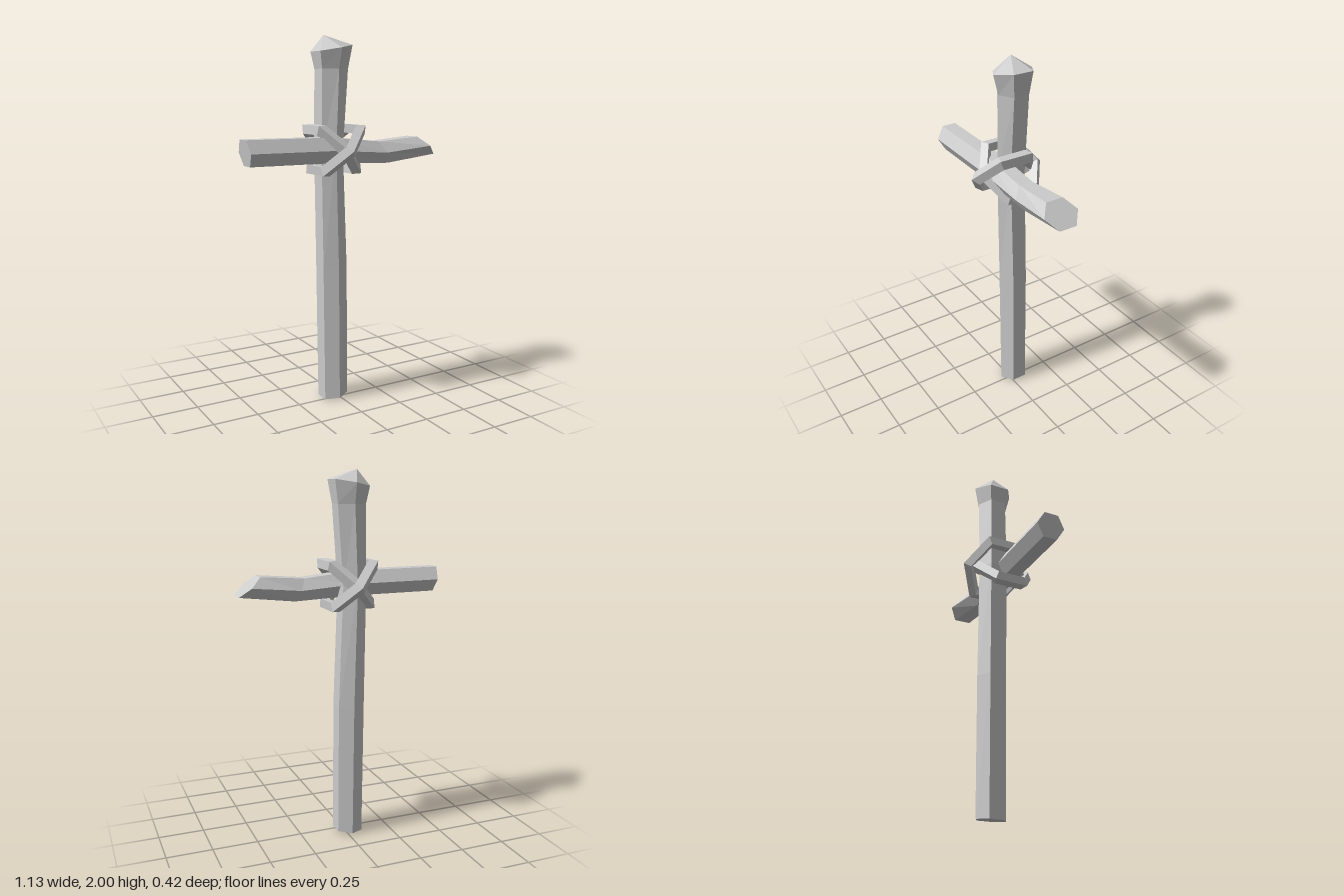
import * as THREE from 'three';

const material = new THREE.MeshStandardMaterial({ color: 0xcccccc, flatShading: true, side: THREE.FrontSide });

// Six-sided stick swept along an axis. Each station: centre c, half widths ru and rv,
// and the shear that slants the cut along the axis.
function stick(name, stations, u, v, w, tip) {
  const rings = stations.map(({ c, ru, rv, shear = 0 }) =>
    Array.from({ length: 6 }, (_, k) => {
      const a = (k * Math.PI) / 3;
      const du = (ru * Math.sin(a)) / Math.sin(Math.PI / 3);
      return new THREE.Vector3(...c)
        .addScaledVector(u, du)
        .addScaledVector(v, rv * Math.cos(a))
        .addScaledVector(w, shear * du);
    }));
  const points = [];
  const last = rings.length - 1;
  const start = new THREE.Vector3(...stations[0].c);
  const end = new THREE.Vector3(...(tip || stations[last].c));
  for (let k = 0; k < 6; k++) {
    const n = (k + 1) % 6;
    for (let i = 0; i < last; i++) {
      const [a, b, c, d] = [rings[i][k], rings[i][n], rings[i + 1][n], rings[i + 1][k]];
      points.push(a, b, c, a, c, d);
    }
    points.push(start, rings[0][n], rings[0][k]);
    points.push(end, rings[last][k], rings[last][n]);
  }
  const geometry = new THREE.BufferGeometry().setFromPoints(points);
  geometry.computeVertexNormals();
  const mesh = new THREE.Mesh(geometry, material);
  mesh.name = name;
  return mesh;
}

// Angular binding loop, leaning across the joint to one side
function binding(name, side) {
  const geometry = new THREE.TorusGeometry(0.174, 0.036, 4, 6);
  geometry.scale(0.905, 1, 1).rotateY(-Math.PI / 2).rotateZ((-side * Math.PI) / 4);
  const mesh = new THREE.Mesh(geometry, material);
  mesh.name = name;
  mesh.position.set(-0.031, 1.404, side * 0.021);
  return mesh;
}

export function createModel() {
  const group = new THREE.Group();
  group.name = 'boundStickCross';
  const X = new THREE.Vector3(1, 0, 0);
  const Y = new THREE.Vector3(0, 1, 0);
  const Z = new THREE.Vector3(0, 0, 1);

  // Slightly bent upright with a flared, pointed head
  group.add(stick('post', [
    { c: [-0.019, 0.008, -0.035], ru: 0.071, rv: 0.082, shear: 0.11 },
    { c: [-0.026, 0.75, -0.035], ru: 0.073, rv: 0.084 },
    { c: [-0.043, 1.4, -0.035], ru: 0.065, rv: 0.085 },
    { c: [-0.026, 1.825, -0.035], ru: 0.078, rv: 0.086 },
    { c: [-0.025, 1.932, -0.033], ru: 0.096, rv: 0.112, shear: 0.18 },
  ], X, Z, Y, [-0.065, 2, -0.047]));

  // Crooked bar with a slanted cut at its left end
  group.add(stick('crossbar', [
    { c: [-0.56, 1.407, 0.041], ru: 0.067, rv: 0.079, shear: -0.15 },
    { c: [-0.08, 1.405, 0.041], ru: 0.067, rv: 0.079 },
    { c: [0.235, 1.383, 0.042], ru: 0.059, rv: 0.077, shear: -0.45 },
    { c: [0.507, 1.411, 0.042], ru: 0.05, rv: 0.097, shear: -1.15 },
  ], Y, Z.clone().negate(), X));

  // Crossed bindings around the joint
  group.add(binding('frontBinding', 1), binding('backBinding', -1));
  return group;
}
